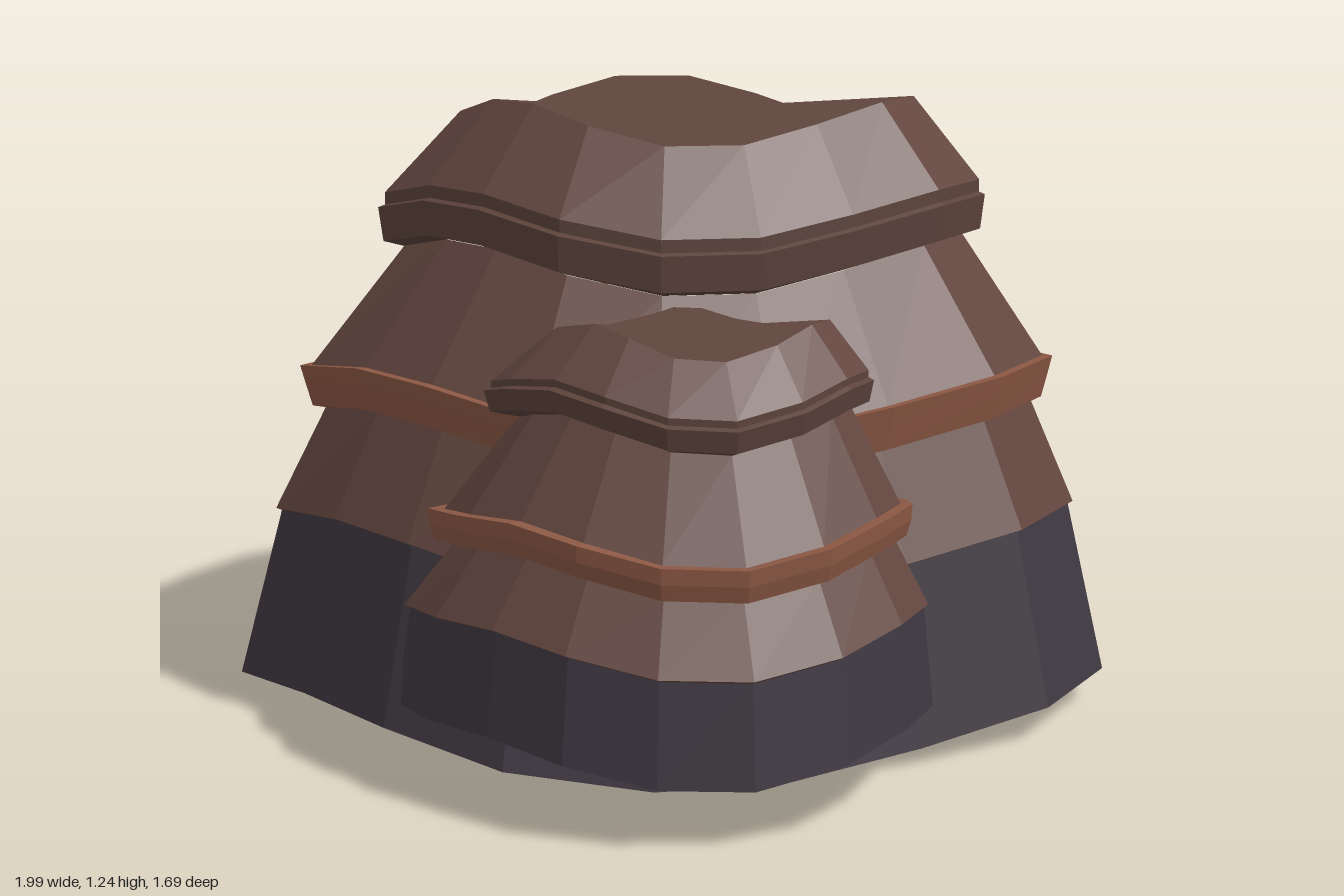
import * as THREE from 'three';

const mat = (name, color, extra = {}) => {
  const m = new THREE.MeshStandardMaterial({ color, ...extra });
  m.name = name;
  return m;
};

// Outline radii at even angles, from the front round through +x
const MAIN_FOOT = [.825, .83, .78, .75, .78, .87, .9, .875, .845, .86, .92, 1, 1.03, .99, .93, .91, .92, .835];
const MAIN_CROWN = [.41, .435, .445, .44, .45, .48, .49, .455, .425, .425, .44, .465, .47, .455, .45, .455, .445, .41];
const SPUR_FOOT = [.46, .45, .44, .44, .45, .45, .455, .47, .45, .43, .43, .43, .43, .48, .57, .5];
const SPUR_CROWN = [.22, .22, .23, .24, .25, .25, .255, .25, .23, .22, .22, .22, .22, .24, .27, .25];
const SIDE_FOOT = [.35, .36, .37, .36, .36, .37, .36, .35, .36, .38, .37, .38];
const SIDE_CROWN = [.14, .14, .15, .14, .14, .15, .14, .14, .15, .15, .14, .15];

// Strata: [name, material key, rows of (height, spread)]; spread 1 = foot, 0 = crown
const MAIN = [
  ['baseRock', 'slate', [[.035, 1], [.39, .8]]],
  ['lowerSlope', 'brown', [[.38, .8], [.385, .83], [.6, .6]]],
  ['rustBand', 'rust', [[.595, .59], [.6, .66], [.65, .69], [.685, .71], [.685, .65]]],
  ['middleSlope', 'brown', [[.685, .66], [.93, .25]]],
  ['upperLedge', 'umber', [[.93, .24], [.94, .34], [1.01, .36], [1.015, .33], [1.04, .33]]],
  ['upperSlope', 'brown', [[1.04, .33], [1.205, 0]]],
];
const SPUR = [
  ['baseRock', 'slate', [[.135, 1], [.33, .9]]],
  ['lowerSlope', 'brown', [[.325, .9], [.33, .94], [.46, .6]]],
  ['rustBand', 'rust', [[.455, .6], [.46, .73], [.49, .77], [.52, .78], [.52, .66]]],
  ['middleSlope', 'brown', [[.52, .67], [.7, .2]]],
  ['upperLedge', 'umber', [[.7, .19], [.71, .37], [.75, .41], [.755, .36], [.768, .36]]],
  ['upperSlope', 'brown', [[.768, .36], [.86, 0]]],
];

export function createModel() {
  const mats = {
    slate: mat('slate', 0x3f3841, { flatShading: true }),
    brown: mat('brown rock', 0x644740, { flatShading: true }),
    umber: mat('umber ledge', 0x5c433b, { flatShading: true }),
    rust: mat('rust band', 0x8c5844, { flatShading: true }),
    cap: mat('summit brown', 0x60463e),
  };

  // One stack of strata whose rings ripple up and down three times
  function tower(name, strata, foot, crown, { wave, turn = 0, yScale = 1 }) {
    const n = foot.length;
    const y0 = strata[0][2][0][0];
    const group = new THREE.Group();
    group.name = name;

    const ring = ([y, t]) => Array.from({ length: n }, (_, i) => {
      const a = ((i + turn) / n) * Math.PI * 2;
      const r = crown[i] + (foot[i] - crown[i]) * t;
      return [Math.sin(a) * r, y0 + (y - y0) * yScale + wave * Math.cos(3 * a), Math.cos(a) * r];
    });
    const add = (part, material, points, index) => {
      const g = new THREE.BufferGeometry();
      g.setAttribute('position', new THREE.Float32BufferAttribute(points.flat(), 3));
      g.setIndex(index);
      g.computeVertexNormals();
      const mesh = new THREE.Mesh(g, material);
      mesh.name = part;
      group.add(mesh);
      return g;
    };

    // Sloping and overhanging strata
    for (const [part, key, rows] of strata) {
      const index = [];
      for (let k = 0; k < rows.length - 1; k++) {
        for (let i = 0; i < n; i++) {
          const a = k * n + i, b = k * n + (i + 1) % n;
          index.push(a, b, b + n, a, b + n, a + n);
        }
      }
      add(part, mats[key], rows.flatMap(ring), index);
    }

    // Summit and underside: fans round a centre point, evenly shaded
    const fan = (part, material, row, up) => {
      const points = ring(row);
      points.push([0, y0 + (row[0] - y0) * yScale, 0]);
      const index = [];
      for (let i = 0; i < n; i++) {
        const j = (i + 1) % n;
        index.push(n, up ? i : j, up ? j : i);
      }
      const { normal } = add(part, material, points, index).attributes;
      for (let i = 0; i <= n; i++) normal.setXYZ(i, 0, up ? 1 : -1, 0);
    };
    fan('summit', mats.cap, strata.at(-1)[2].at(-1), true);
    fan('underside', mats.slate, strata[0][2][0], false);
    return group;
  }

  const model = new THREE.Group();
  model.name = 'layeredRock';
  model.add(tower('mainButte', MAIN, MAIN_FOOT, MAIN_CROWN, { wave: .04, turn: .5 }));

  // Smaller outcrops leaning on the butte
  const spur = tower('frontOutcrop', SPUR, SPUR_FOOT, SPUR_CROWN, { wave: .027 });
  spur.position.set(.55, 0, .38);
  const sideSpur = tower('sideOutcrop', SPUR, SIDE_FOOT, SIDE_CROWN, { wave: .018, yScale: .75 });
  sideSpur.position.set(-.6, 0, -.1);
  model.add(spur, sideSpur);
  return model;
}
